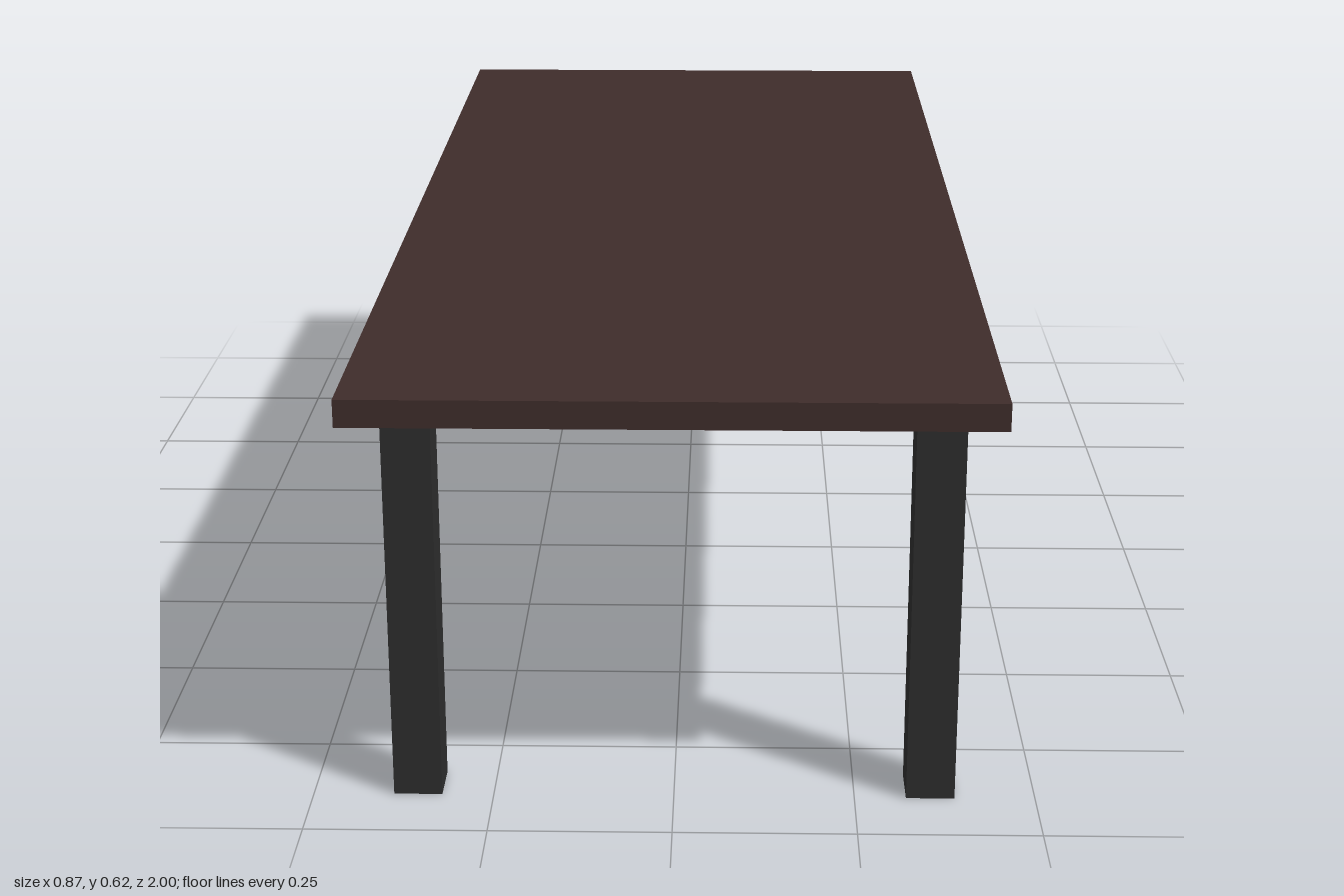
import * as THREE from 'three';

const TOP = { width: 0.866, thickness: 0.038, length: 2 };
const LEG = { side: 0.067, height: 0.578, x: 0.355, z: 0.864 };

export function createModel() {
  const table = new THREE.Group();
  table.name = 'table';

  const wood = new THREE.MeshStandardMaterial({ color: 0x3e2c2a });
  const metal = new THREE.MeshStandardMaterial({ color: 0x2d2d2d });

  // Flat rectangular slab resting on the legs
  const tabletop = new THREE.Mesh(
    new THREE.BoxGeometry(TOP.width, TOP.thickness, TOP.length), wood);
  tabletop.name = 'tabletop';
  tabletop.position.y = LEG.height + TOP.thickness / 2;
  table.add(tabletop);

  // Four square legs, set in from the corners
  const legGeometry = new THREE.BoxGeometry(LEG.side, LEG.height, LEG.side);
  for (const [end, sz] of [['front', 1], ['back', -1]]) {
    for (const [hand, sx] of [['Left', 1], ['Right', -1]]) {
      const leg = new THREE.Mesh(legGeometry, metal);
      leg.name = `${end}${hand}Leg`;
      leg.position.set(sx * LEG.x, LEG.height / 2, sz * LEG.z);
      table.add(leg);
    }
  }
  return table;
}
